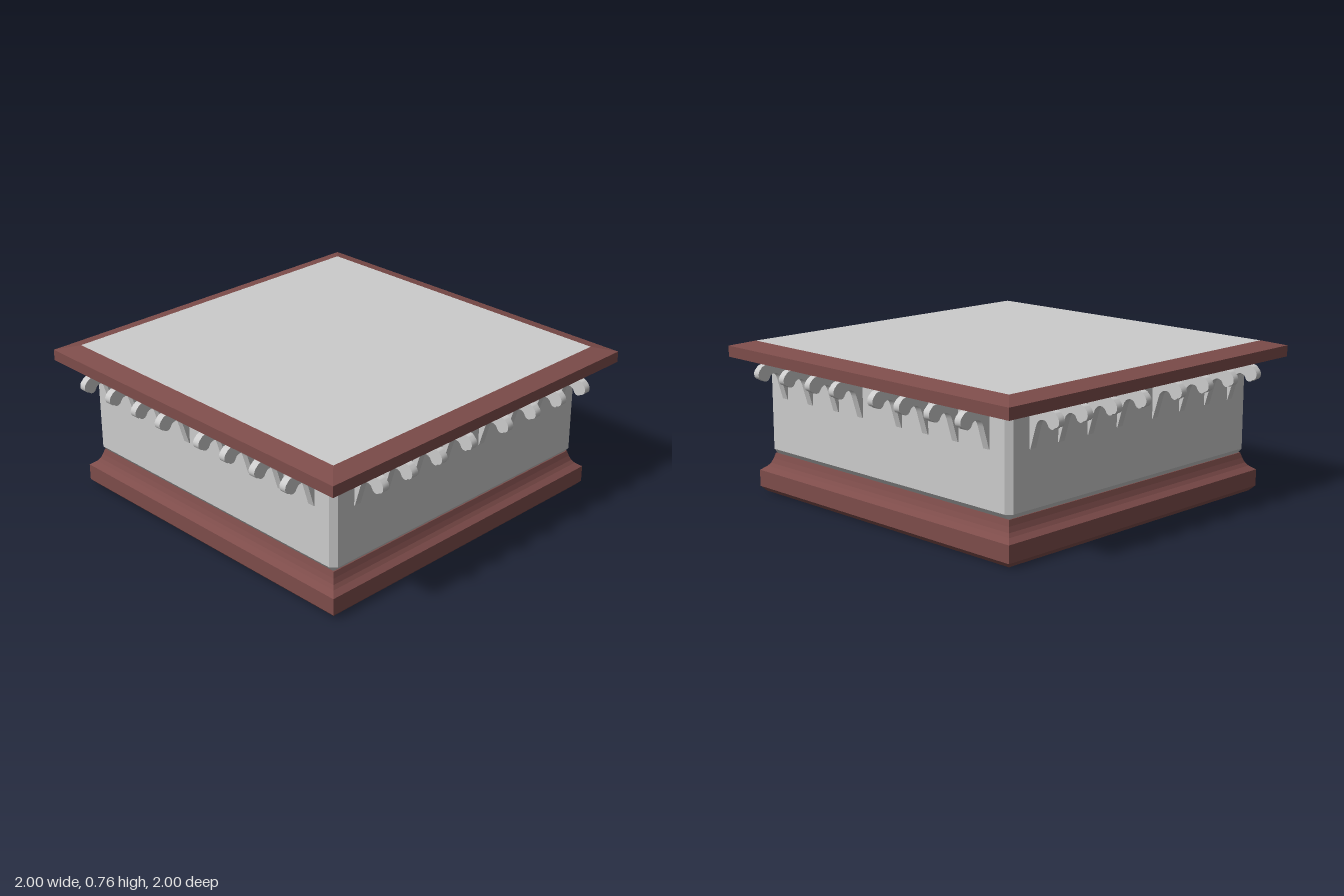
import * as THREE from 'three';
import { toCreasedNormals } from 'three/addons/utils/BufferGeometryUtils.js';

// Square cross-section of half width h at height y, with corners cut by b
function ring(h, y, b = 0) {
  const c = h - b;
  const pts = b
    ? [[-c, h], [c, h], [h, c], [h, -c], [c, -h], [-c, -h], [-h, -c], [-h, c]]
    : [[-h, h], [-h, h], [h, h], [h, h], [h, -h], [h, -h], [-h, -h], [-h, -h]];
  // keep the same corner pairing for sharp rings
  if (!b) pts.push(pts.shift());
  return pts.map(([x, z]) => [x, y, z]);
}

// Skin a stack of rings from bottom to top, optionally capped
function loft(rings, capBottom, capTop) {
  const v = [];
  const n = rings[0].length;
  for (let i = 0; i < rings.length - 1; i++) {
    for (let j = 0; j < n; j++) {
      const k = (j + 1) % n;
      const a = rings[i][j], b = rings[i][k], c = rings[i + 1][k], d = rings[i + 1][j];
      v.push(...a, ...b, ...c, ...a, ...c, ...d);
    }
  }
  const bottom = rings[0], top = rings[rings.length - 1];
  for (let j = 1; j < n - 1; j++) {
    if (capBottom) v.push(...bottom[0], ...bottom[j + 1], ...bottom[j]);
    if (capTop) v.push(...top[0], ...top[j], ...top[j + 1]);
  }
  const g = new THREE.BufferGeometry();
  g.setAttribute('position', new THREE.Float32BufferAttribute(v, 3));
  g.computeVertexNormals();
  return g;
}

// Scrolled bracket: side outline pushed through its width
function bracketGeometry(width) {
  const s = new THREE.Shape();
  s.moveTo(0.825, 0.49);
  s.lineTo(0.834, 0.49);
  s.lineTo(0.866, 0.595);
  s.bezierCurveTo(0.876, 0.637, 0.925, 0.642, 0.936, 0.612);
  s.bezierCurveTo(0.943, 0.594, 0.966, 0.592, 0.975, 0.606);
  s.bezierCurveTo(1.003, 0.608, 1.01, 0.645, 0.985, 0.663);
  s.bezierCurveTo(0.975, 0.676, 0.96, 0.678, 0.945, 0.678);
  s.lineTo(0.85, 0.674);
  s.quadraticCurveTo(0.834, 0.66, 0.825, 0.62);
  s.closePath();
  const g = new THREE.ExtrudeGeometry(s, { depth: width, bevelEnabled: false, curveSegments: 7 });
  g.translate(0, 0, -width / 2);
  return toCreasedNormals(g, 0.7);
}

export function createModel() {
  const model = new THREE.Group();
  const grey = new THREE.MeshStandardMaterial({ color: 0xcccccc });
  const greyFlat = new THREE.MeshStandardMaterial({ color: 0xcccccc, flatShading: true });
  const brown = new THREE.MeshStandardMaterial({ color: 0x7d4c4a, flatShading: true });
  const add = (name, geometry, material, parent = model) => {
    const mesh = new THREE.Mesh(geometry, material);
    mesh.name = name;
    parent.add(mesh);
    return mesh;
  };

  // Moulded base
  const baseProfile = [[0.848, 0], [0.872, 0.025], [0.872, 0.108], [0.845, 0.128], [0.832, 0.144], [0.822, 0.168], [0.814, 0.195]];
  add('base', loft(baseProfile.map(([h, y]) => ring(h, y)), true, true), brown);

  // Body with bevelled edges
  const body = [ring(0.803, 0.188), ring(0.83, 0.22, 0.027), ring(0.83, 0.64, 0.027), ring(0.803, 0.672)];
  add('body', loft(body, true, true), greyFlat);

  // Overhanging cornice and the panel set into its top
  const cornice = [[0.865, 0.666], [0.965, 0.68], [0.965, 0.735], [0.87, 0.76]];
  add('cornice', loft(cornice.map(([h, y]) => ring(h, y)), true, false), brown);
  const panel = new THREE.PlaneGeometry(1.74, 1.74);
  panel.rotateX(-Math.PI / 2);
  add('topPanel', panel, grey).position.y = 0.76;

  // Rows of brackets under the cornice on all four sides
  const bracket = bracketGeometry(0.036);
  const sideOffsets = [0.135, 0.31, 0.503, 0.697];
  const frontOffsets = [0.124, 0.32, 0.509, 0.687];
  ['left', 'back', 'right', 'front'].forEach((side, i) => {
    const row = new THREE.Group();
    row.name = side + 'Brackets';
    row.rotation.y = (i * Math.PI) / 2;
    for (const d of i % 2 ? frontOffsets : sideOffsets) {
      for (const sign of [-1, 1]) add('bracket', bracket, grey, row).position.z = sign * d;
    }
    model.add(row);
  });

  return model;
}
